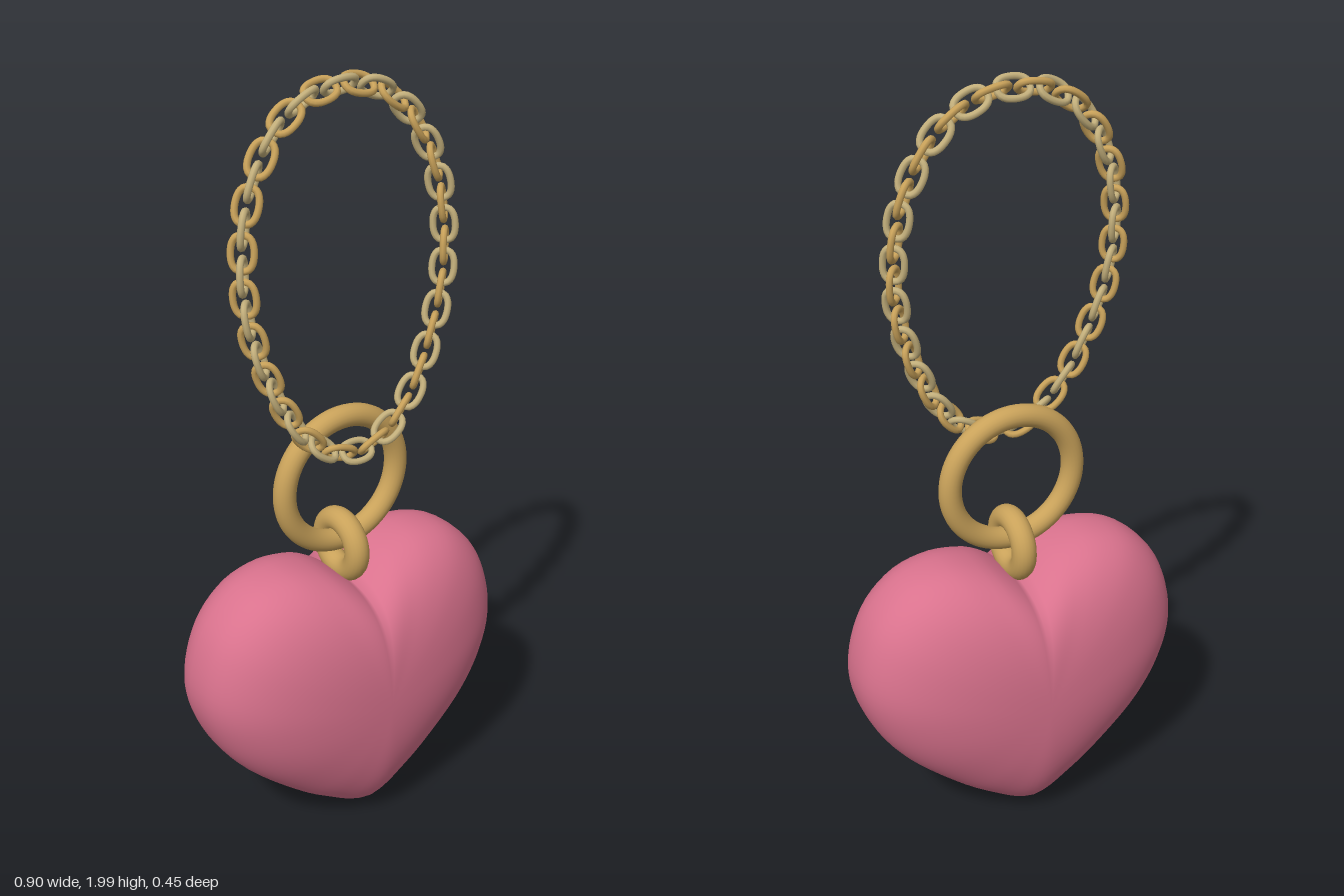
import * as THREE from 'three';
import { mergeVertices } from 'three/addons/utils/BufferGeometryUtils.js';

const pink = new THREE.MeshStandardMaterial({ name: 'pink enamel', color: 0xd9728d });
const gold = new THREE.MeshStandardMaterial({ name: 'gold', color: 0xc9a25a });
const paleGold = new THREE.MeshStandardMaterial({ name: 'pale gold', color: 0xc4b07c });

const vectors = (pairs) => pairs.map(([x, y]) => new THREE.Vector2(x, y));

function addMesh(parent, name, geometry, material) {
  const mesh = new THREE.Mesh(geometry, material);
  mesh.name = name;
  parent.add(mesh);
  return mesh;
}

// Puffy heart: the outline shrinks towards the centre while z follows a rounded pillow profile
function heartGeometry() {
  const half = new THREE.SplineCurve(vectors([
    [0, 0.005], [0.04, 0.015], [0.1, 0.05], [0.2, 0.12], [0.34, 0.25], [0.42, 0.375],
    [0.45, 0.51], [0.41, 0.66], [0.32, 0.755], [0.21, 0.786], [0.11, 0.77], [0.045, 0.735], [0, 0.7],
  ])).getSpacedPoints(48);
  const mirrored = half.slice(1, -1).reverse().map((p) => new THREE.Vector2(-p.x, p.y));
  const outline = [...half, ...mirrored];
  const n = outline.length, rows = 40, centreY = 0.4, depth = 0.226, power = 2 / 2.4;
  const positions = [], index = [];
  for (let i = 0; i <= rows; i++) {
    const a = (i / rows) * Math.PI;
    const s = Math.pow(Math.max(0, Math.sin(a)), power);
    const z = depth * Math.sign(Math.cos(a)) * Math.pow(Math.abs(Math.cos(a)), power);
    outline.forEach((p, j) => {
      const dy = p.y - centreY;
      // the cleft fades out towards the faces
      const fill = 0.12 * Math.exp(-((p.x / 0.1) ** 2)) * Math.max(0, dy / 0.3) * s * (1 - s);
      positions.push(p.x * s, centreY + dy * s + fill, z);
      if (i < rows) {
        const k = (j + 1) % n;
        const A = i * n + j, B = A + n, C = (i + 1) * n + k, D = i * n + k;
        if (i < rows - 1) index.push(A, B, C);
        else index.push(A, B, D);
        if (i > 0 && i < rows - 1) index.push(A, C, D);
      }
    });
  }
  const geometry = new THREE.BufferGeometry();
  geometry.setAttribute('position', new THREE.Float32BufferAttribute(positions, 3));
  geometry.setIndex(index);
  const welded = mergeVertices(geometry, 1e-5);
  welded.computeVertexNormals();
  return welded;
}

// One oval wire link lying in its local XY plane, long along y
function linkGeometry(halfWidth, halfLength, wire) {
  const points = [];
  for (let i = 0; i < 16; i++) {
    const a = (i / 16) * Math.PI * 2;
    const c = Math.cos(a), s = Math.sin(a);
    points.push(new THREE.Vector3(
      halfWidth * Math.sign(c) * Math.pow(Math.abs(c), 0.75),
      halfLength * Math.sign(s) * Math.pow(Math.abs(s), 0.9), 0));
  }
  return new THREE.TubeGeometry(new THREE.CatmullRomCurve3(points, true), 28, wire, 8, true);
}

// Egg-shaped loop of links, leaning forward at the bottom
function buildChain() {
  const chain = new THREE.Group();
  chain.name = 'chain';
  const right = [[0, 1.085], [0.09, 1.115], [0.17, 1.195], [0.245, 1.35], [0.28, 1.48],
    [0.287, 1.61], [0.26, 1.76], [0.185, 1.89], [0.095, 1.953], [0, 1.97]];
  const left = right.slice(1, -1).reverse().map(([x, y]) => [-x, y]);
  const path = new THREE.CatmullRomCurve3([...right, ...left].map(
    ([x, y]) => new THREE.Vector3(x, y, 0.065 - 0.08 * (y - 1.085))), true);
  const planeNormal = new THREE.Vector3(0, 0.08, 1).normalize();
  const geometry = linkGeometry(0.027, 0.041, 0.0085);
  const count = 44;
  for (let i = 0; i < count; i++) {
    const along = path.getTangentAt(i / count);
    const across = new THREE.Vector3().crossVectors(along, planeNormal).normalize();
    const out = new THREE.Vector3().crossVectors(across, along);
    const link = addMesh(chain, 'chainLink', geometry, i % 2 ? gold : paleGold);
    link.position.copy(path.getPointAt(i / count));
    link.quaternion.setFromRotationMatrix(new THREE.Matrix4().makeBasis(across, along, out));
    // neighbouring links cross at right angles
    link.rotateY((i % 2 ? 1 : -1) * Math.PI / 4);
  }
  return chain;
}

export function createModel() {
  const model = new THREE.Group();
  model.name = 'heartPendant';
  addMesh(model, 'heart', heartGeometry(), pink);

  // Small loop set in the cleft
  const loop = addMesh(model, 'heartLoop', new THREE.TorusGeometry(0.068, 0.032, 20, 48), gold);
  loop.position.y = 0.79;
  loop.rotation.y = Math.PI / 2;

  // Large ring joining loop and chain
  const ring = addMesh(model, 'keyRing', new THREE.TorusGeometry(0.171, 0.029, 20, 72), gold);
  ring.position.y = 0.98;

  model.add(buildChain());
  return model;
}
